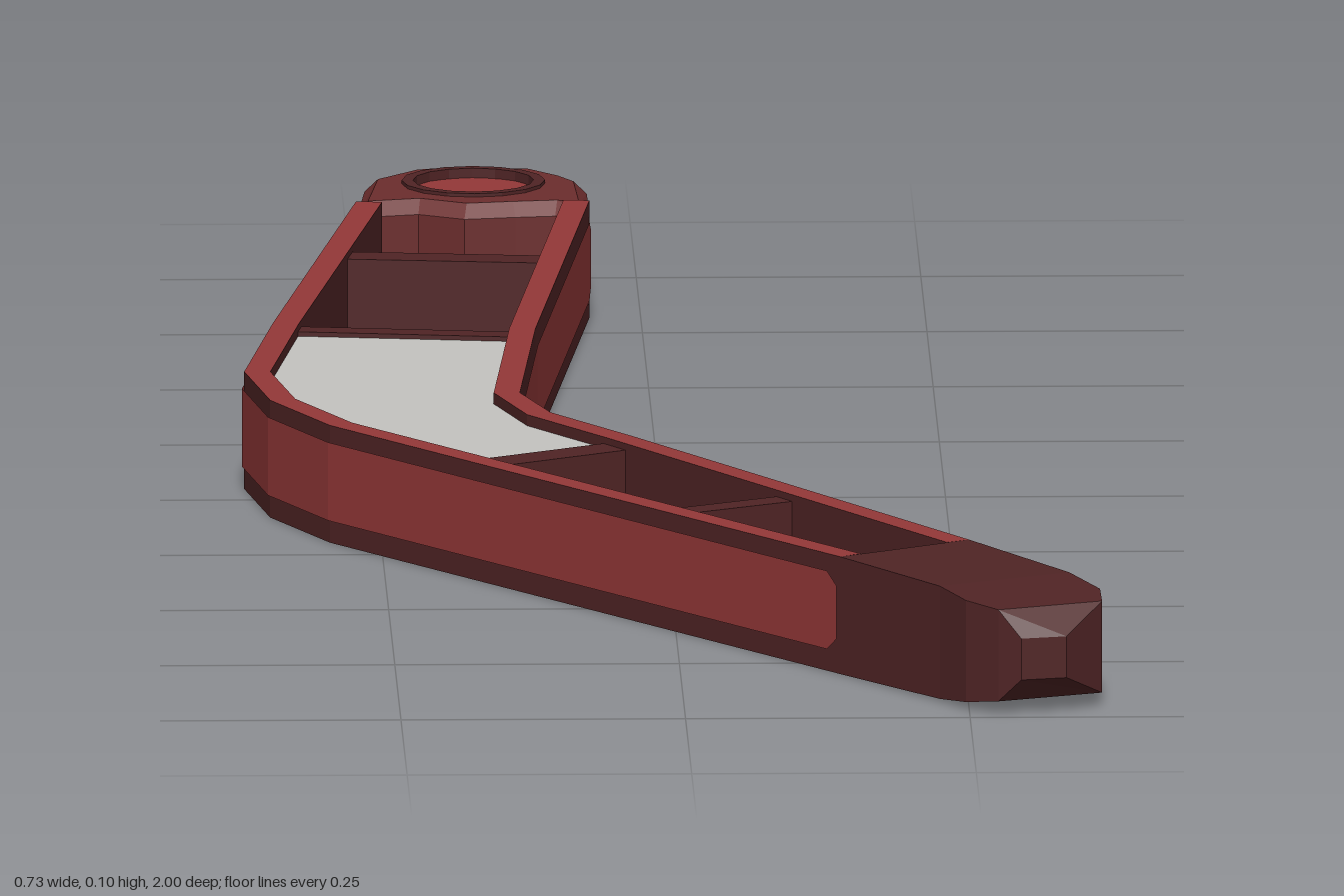
import * as THREE from 'three';

const H = 0.105;
const red = new THREE.MeshStandardMaterial({ color: 0x943838, side: THREE.DoubleSide });
red.name = 'red';
const dark = new THREE.MeshStandardMaterial({ color: 0x502425 });
dark.name = 'dark maroon';
const maroon = new THREE.MeshStandardMaterial({ color: 0x6c2d2d });
maroon.name = 'maroon';
const grey = new THREE.MeshStandardMaterial({ color: 0xc4c3c0 });
grey.name = 'light grey';

// Plan outlines as [x, z], running from the hub to the tip
const leftEdge = [[-0.25, -0.82], [-0.335, -0.27], [-0.365, -0.05], [-0.345, 0.08],
  [-0.295, 0.195], [-0.18, 0.355], [0.14, 0.8]];
const rightEdge = [[-0.045, -0.82], [-0.105, -0.24], [-0.125, 0.05], [-0.1, 0.14],
  [-0.03, 0.25], [0.255, 0.725]];

const lerp = (a, b, t) => [a[0] + (b[0] - a[0]) * t, a[1] + (b[1] - a[1]) * t];

// Shift a path sideways; positive d moves it towards +x
function offset(path, d) {
  return path.map((p, i) => {
    const a = path[Math.max(i - 1, 0)], b = path[Math.min(i + 1, path.length - 1)];
    const dx = b[0] - a[0], dz = b[1] - a[1], l = Math.hypot(dx, dz);
    return [p[0] + dz / l * d, p[1] - dx / l * d];
  });
}

const toShape = pts => new THREE.Shape(pts.map(p => new THREE.Vector2(p[0], p[1])));

// Extrude a plan shape between two heights
function slab(shape, y0, y1, bevel = 0) {
  const g = new THREE.ExtrudeGeometry(shape, {
    depth: y1 - y0 - 2 * bevel, bevelEnabled: bevel > 0, bevelSize: bevel,
    bevelThickness: bevel, bevelOffset: -bevel, bevelSegments: 1, curveSegments: 8,
  });
  g.rotateX(Math.PI / 2);
  g.translate(0, y1 - bevel, 0);
  return g;
}

function fromQuads(quads) {
  const pos = [];
  for (const [a, b, c, d] of quads) pos.push(...a, ...b, ...c, ...a, ...c, ...d);
  const g = new THREE.BufferGeometry();
  g.setAttribute('position', new THREE.Float32BufferAttribute(pos, 3));
  g.computeVertexNormals();
  return g;
}

// Thin painted strip on an outer wall, with rounded-off ends
function sidePanel(edge, d) {
  const n = edge.length - 1, [p, q] = [edge[0], edge[1]], [r, s] = [edge[n - 1], edge[n]];
  const path = offset([lerp(p, q, 0.01), lerp(p, q, 0.04), ...edge.slice(1, n),
    lerp(r, s, 0.97), lerp(r, s, 0.995)], d);
  const quads = [];
  const at = (i, sgn) => {
    const h = i === 0 || i === path.length - 1 ? 0.024 : 0.035;
    return [path[i][0], 0.055 + sgn * h, path[i][1]];
  };
  for (let i = 0; i < path.length - 1; i++) {
    const quad = [at(i, 1), at(i, -1), at(i + 1, -1), at(i + 1, 1)];
    quads.push(d < 0 ? quad : quad.reverse());
  }
  return fromQuads(quads);
}

// Tapered tip lofted through four-cornered sections
function tipGeometry() {
  const rings = [
    [0.14, 0.8, 0.255, 0.725, 0, H],
    [0.225, 0.925, 0.34, 0.865, 0.002, 0.103],
    [0.247, 0.965, 0.366, 0.915, 0.007, 0.098],
    [0.275, 0.988, 0.367, 0.95, 0.012, 0.094],
    [0.295, 0.998, 0.335, 0.988, 0.033, 0.07],
  ].map(([lx, lz, rx, rz, y0, y1]) => [[lx, y1, lz], [rx, y1, rz], [rx, y0, rz], [lx, y0, lz]]);
  const quads = [rings[0]];
  for (let i = 0; i < rings.length - 1; i++) {
    for (let k = 0; k < 4; k++) {
      const m = (k + 1) % 4;
      quads.push([rings[i][k], rings[i + 1][k], rings[i + 1][m], rings[i][m]]);
    }
  }
  quads.push([...rings[rings.length - 1]].reverse());
  return fromQuads(quads);
}

export function createModel() {
  const model = new THREE.Group();
  model.name = 'curvedArm';
  const add = (name, geometry, material) => {
    const mesh = new THREE.Mesh(geometry, material);
    mesh.name = name;
    model.add(mesh);
    return mesh;
  };

  // Side walls: red rims, dark faces, red strip outside
  for (const [name, edge, side] of [['right', leftEdge, 1], ['left', rightEdge, -1]]) {
    const wall = [...edge, ...offset(edge, 0.023 * side).reverse()];
    add(name + 'Wall', slab(toShape(wall), 0, H), [red, dark]);
    add(name + 'SidePanel', sidePanel(edge, -0.002 * side), red);
  }

  // Cross ribs: start, end, thickness
  const ribs = [
    [[-0.275, -0.607], [-0.075, -0.582], 0.034],
    [[-0.325, -0.274], [-0.11, -0.242], 0.024],
    [[-0.175, 0.347], [-0.04, 0.263], 0.036],
    [[-0.012, 0.569], [0.108, 0.501], 0.026],
  ];
  for (const [a, b, t] of ribs) {
    const dx = b[0] - a[0], dz = b[1] - a[1];
    const rib = add('crossRib', new THREE.BoxGeometry(Math.hypot(dx, dz), H - 0.012, t), dark);
    rib.position.set((a[0] + b[0]) / 2, H / 2, (a[1] + b[1]) / 2);
    rib.rotation.y = -Math.atan2(dz, dx);
  }

  // Grey infill around the elbow
  const infill = [...offset(leftEdge, 0.02).slice(1, 6), ...offset(rightEdge, -0.02).slice(1, 5).reverse()];
  add('elbowInfill', slab(toShape(infill), 0.01, 0.095), grey);

  // Hub with a notched end and a scalloped inner edge
  const cx = -0.145, cz = -0.915;
  const hub = toShape([[-0.25, -0.82], [-0.24, -0.94], [-0.2, -0.988], [-0.165, -1],
    [-0.145, -0.99], [-0.12, -0.992], [-0.09, -0.992], [-0.06, -0.955], [-0.045, -0.925],
    [-0.045, -0.81], [-0.075, -0.825], [-0.11, -0.82], [-0.155, -0.812], [-0.195, -0.835], [-0.235, -0.825]]);
  hub.holes.push(new THREE.Path().absarc(cx, cz, 0.05, 0, Math.PI * 2, true));
  add('hub', slab(hub, 0.002, 0.102, 0.012), maroon);

  // Pivot: dark collar and red plug
  const collar = new THREE.Shape().absarc(cx, cz, 0.063, 0, Math.PI * 2, false);
  collar.holes.push(new THREE.Path().absarc(cx, cz, 0.053, 0, Math.PI * 2, true));
  add('pivotCollar', slab(collar, 0, H), dark);
  const plug = add('pivotPlug', new THREE.CylinderGeometry(0.056, 0.056, 0.088, 8), red);
  plug.position.set(cx, H / 2, cz);

  add('tip', tipGeometry(), dark);
  return model;
}
